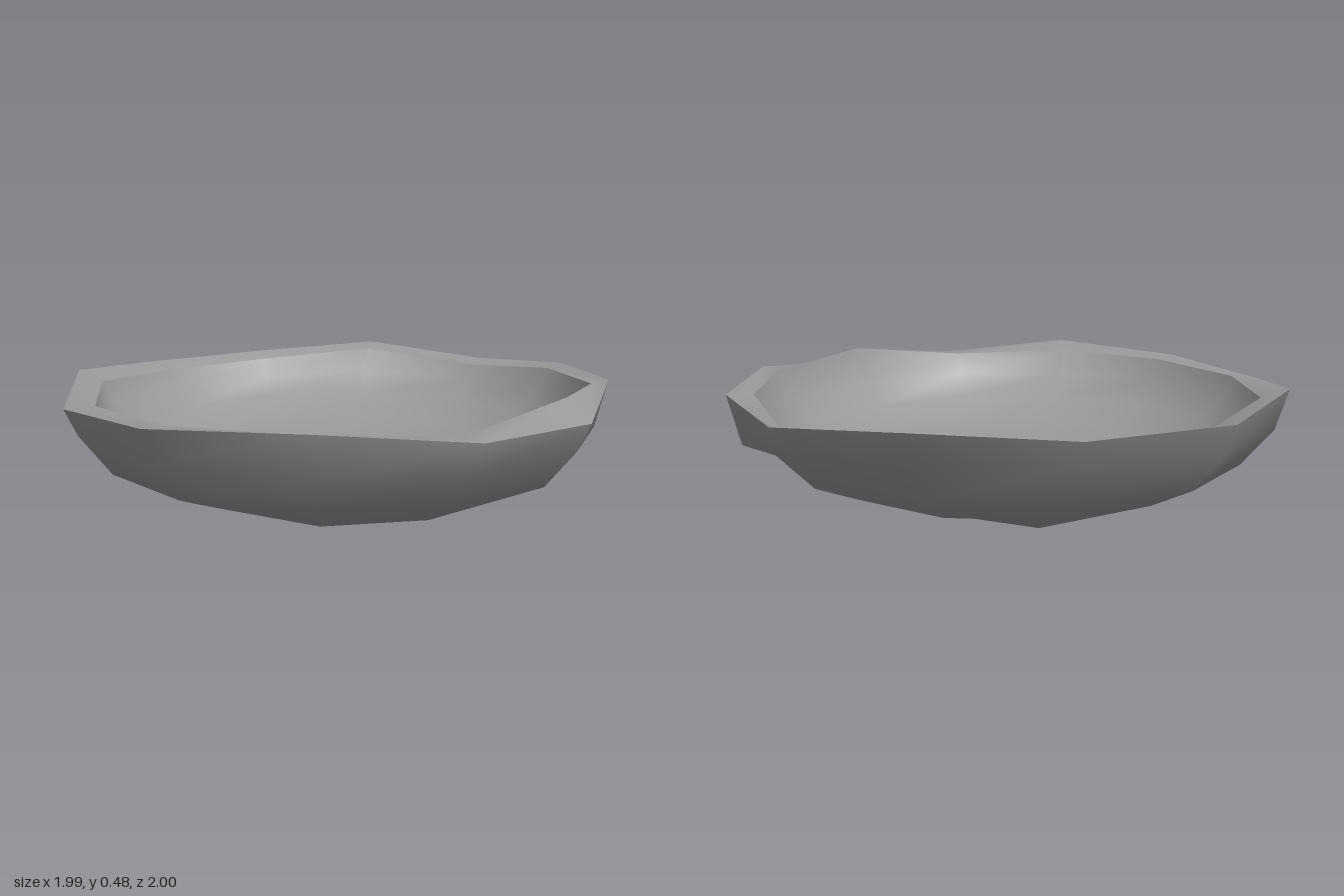
import * as THREE from 'three';
import { mergeVertices } from 'three/addons/utils/BufferGeometryUtils.js';

const material = new THREE.MeshStandardMaterial({ color: 0x999999, side: THREE.DoubleSide });

// Twelve corners of the hand-cut rim, from the back round by +x: [x, y, z]
const outerRim = [
  [-0.23, 0.42, -0.98], [0.30, 0.45, -1.0], [0.75, 0.405, -0.71], [0.99, 0.44, -0.32],
  [0.985, 0.46, 0.21], [0.72, 0.41, 0.72], [0.29, 0.42, 0.975], [-0.24, 0.47, 1.0],
  [-0.72, 0.44, 0.72], [-1.0, 0.41, 0.23], [-0.99, 0.46, -0.30], [-0.72, 0.42, -0.73],
];
const innerRim = [
  [-0.21, 0.39, -0.93], [0.27, 0.43, -0.915], [0.71, 0.38, -0.68], [0.91, 0.43, -0.25],
  [0.92, 0.445, 0.20], [0.67, 0.48, 0.62], [0.24, 0.42, 0.89], [-0.24, 0.44, 0.875],
  [-0.65, 0.43, 0.64], [-0.89, 0.42, 0.24], [-0.90, 0.42, -0.25], [-0.64, 0.39, -0.68],
];

// A ring below a rim: shrunk in plan, at height y, with optional dents by corner
function ring(rim, scale, y, dents = {}) {
  return rim.map(([x, , z], i) => [x * scale, y + (dents[i] ?? 0), z * scale]);
}

// Skin successive rings; a last or first ring of scale 0 closes the surface
function loft(name, rings) {
  const n = rings[0].length;
  const index = [];
  for (let r = 0; r < rings.length - 1; r++) {
    for (let i = 0; i < n; i++) {
      const j = (i + 1) % n;
      const a = r * n + i, b = r * n + j, c = (r + 1) * n + j, d = (r + 1) * n + i;
      index.push(a, b, c, a, c, d);
    }
  }
  let geometry = new THREE.BufferGeometry();
  geometry.setAttribute('position', new THREE.Float32BufferAttribute(rings.flat(2), 3));
  geometry.setIndex(index);
  geometry = mergeVertices(geometry);
  geometry.computeVertexNormals();
  const mesh = new THREE.Mesh(geometry, material);
  mesh.name = name;
  return mesh;
}

export function createModel() {
  const group = new THREE.Group();
  group.name = 'bowl';

  // Rounded outside with a few dents and overhangs
  group.add(loft('outerShell', [
    outerRim,
    ring(outerRim, 0.955, 0.31, { 0: 0.03, 1: 0.05, 3: -0.055, 4: -0.03 }),
    ring(outerRim, 0.845, 0.175, { 0: 0.01, 1: 0.015, 3: 0.035, 4: -0.03, 5: -0.005, 6: 0.02, 7: 0.02, 9: -0.015 }),
    ring(outerRim, 0.68, 0.09, { 1: 0.01, 2: 0.015, 3: 0.025, 4: 0.065, 5: 0.03, 8: 0.02 }),
    ring(outerRim, 0.475, 0.04, { 0: -0.04, 2: 0.015, 5: 0.01, 9: -0.01 }),
    ring(outerRim, 0.25, 0.045, { 3: -0.005, 10: -0.005 }),
    ring(outerRim, 0, 0.045),
  ]));

  // Uneven flat lip
  group.add(loft('rim', [innerRim, outerRim]));

  // Shallow hollow, with one corner of the wall cut back to a narrow fold
  group.add(loft('innerShell', [
    ring(innerRim, 0, 0.13),
    ring(innerRim, 0.25, 0.13, { 2: 0.01, 8: -0.005 }),
    ring(innerRim, 0.48, 0.14, { 4: 0.01, 7: -0.01 }),
    ring(innerRim, 0.68, 0.175, { 1: 0.01, 4: 0.015, 6: -0.01 }),
    ring(innerRim, 0.85, 0.245, { 3: 0.01, 5: -0.01, 9: 0.01, 10: 0.01 }),
    Object.assign(ring(innerRim, 0.955, 0.335, { 0: -0.02, 2: -0.02, 3: 0.02, 10: 0.015 }), { 1: [0.23, 0.33, -0.895] }),
    innerRim,
  ]));
  return group;
}
